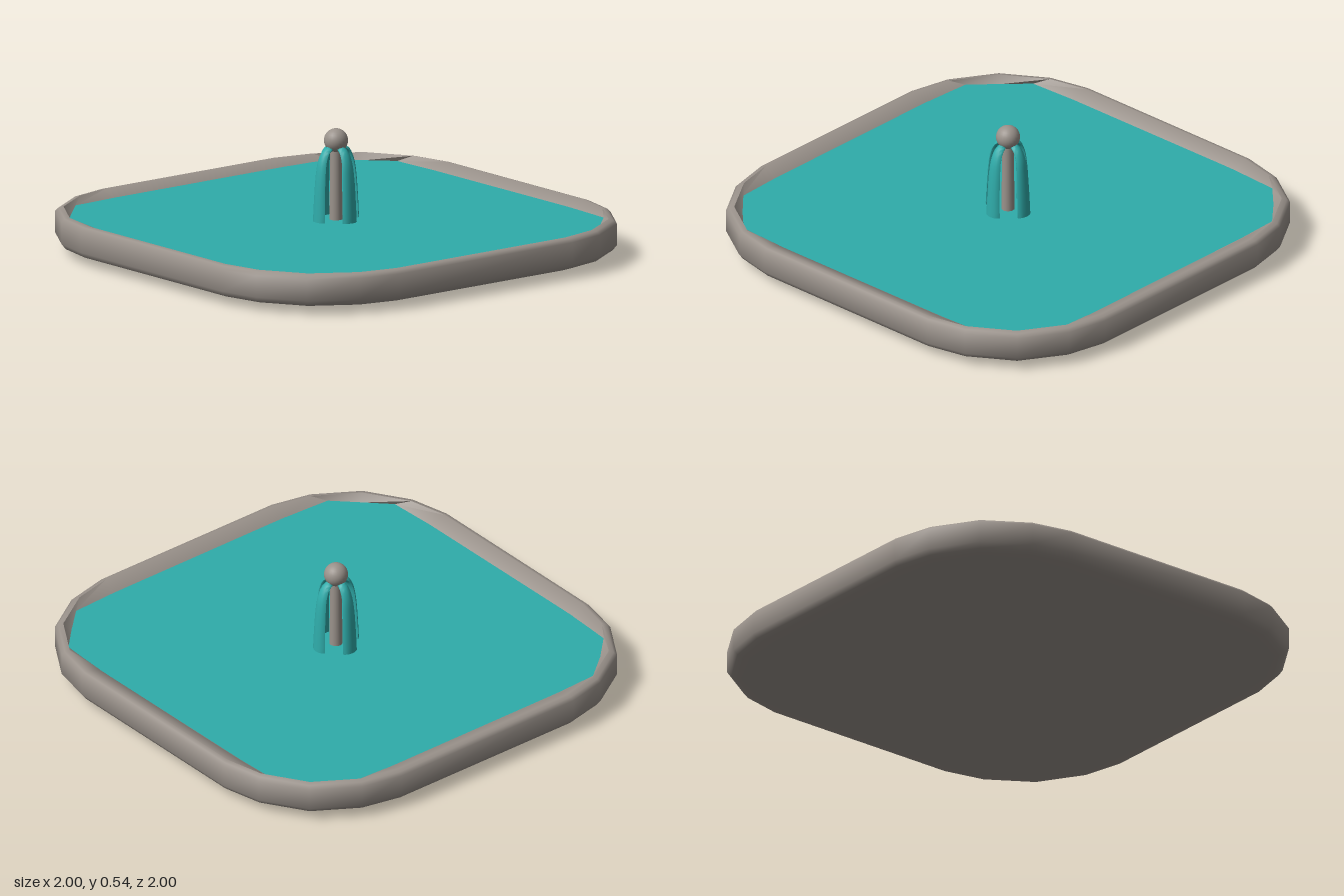
import * as THREE from 'three';
import { toCreasedNormals } from 'three/addons/utils/BufferGeometryUtils.js';

// Repeats one corner's points (x, z) around the four corners
function fourCorners(corner) {
  const pts = [];
  for (let k = 0; k < 4; k++) {
    const c = Math.round(Math.cos(k * Math.PI / 2)), s = Math.round(Math.sin(k * Math.PI / 2));
    for (const [x, z] of corner) pts.push([x * c - z * s, x * s + z * c]);
  }
  return pts;
}

// Skins closed rings of [x, y, z] points, listed bottom to top, and closes both ends
function skin(rings) {
  const idx = [], n = rings[0].length, top = (rings.length - 1) * n;
  for (let j = 0; j < rings.length - 1; j++) {
    for (let i = 0; i < n; i++) {
      const a = j * n + i, b = j * n + (i + 1) % n;
      idx.push(a, a + n, b, b, a + n, b + n);
    }
  }
  for (let i = 1; i < n - 1; i++) {
    idx.push(0, i, i + 1);
    idx.push(top, top + i + 1, top + i);
  }
  const g = new THREE.BufferGeometry();
  g.setAttribute('position', new THREE.Float32BufferAttribute(rings.flat(2), 3));
  g.setIndex(idx);
  return toCreasedNormals(g, 0.9);
}

// One falling jet: a curved lens section, widening from the finial down to the pool
function jetGeometry() {
  const path = new THREE.CatmullRomCurve3([ // radius, height, half width
    [0.099, 0.14, 0.038], [0.094, 0.25, 0.034], [0.087, 0.34, 0.031], [0.077, 0.4, 0.027],
    [0.058, 0.44, 0.023], [0.036, 0.455, 0.019], [0.012, 0.458, 0.012],
  ].map(p => new THREE.Vector3(...p)));
  const rings = [], steps = 18, sides = 12, thick = 0.011;
  for (let j = 0; j <= steps; j++) {
    const p = path.getPoint(j / steps), t = path.getTangent(j / steps);
    const len = Math.hypot(t.x, t.y), nr = t.y / len, ny = -t.x / len;
    const ring = [];
    for (let i = 0; i < sides; i++) {
      const a = i / sides * Math.PI * 2, side = p.z * Math.cos(a);
      const out = thick * Math.sin(a) - side * side / 0.18;
      ring.push([side, p.y + ny * out, p.x + nr * out]);
    }
    rings.push(ring);
  }
  return skin(rings);
}

export function createModel() {
  const stone = new THREE.MeshStandardMaterial({ color: 0x9a928b });
  stone.name = 'stone';
  const water = new THREE.MeshStandardMaterial({ color: 0x2facaa });
  water.name = 'water';

  const model = new THREE.Group();
  model.name = 'fountain';
  const add = (name, geometry, material) => {
    const mesh = new THREE.Mesh(geometry, material);
    mesh.name = name;
    model.add(mesh);
    return mesh;
  };

  // Basin: bowed underside, rounded rim, inner lip sloping down to the pool
  const rim = fourCorners([[1, 0.47], [0.96, 0.65], [0.84, 0.84], [0.65, 0.96], [0.47, 1]]);
  const pool = fourCorners([[0.9, 0.47], [0.89, 0.69], [0.79, 0.79], [0.69, 0.89], [0.47, 0.903]]);
  const ringAt = (outline, scale, y) => outline.map(([x, z]) => [x * scale, y, z * scale]);
  const outerRings = [
    [0.45, 0], [0.7, 0.008], [0.87, 0.018], [0.96, 0.031], [0.985, 0.04], [1, 0.062],
    [1, 0.155], [0.988, 0.169], [0.97, 0.174],
  ].map(([s, y]) => ringAt(rim, s, y));
  add('basin', skin([...outerRings, ringAt(pool, 1, 0.146), ringAt(pool, 0.99, 0.135)]), stone);

  // Water surface, a thin sheet just below the rim
  const sheet = new THREE.ShapeGeometry(new THREE.Shape(pool.map(([x, z]) => new THREE.Vector2(x, z))));
  add('waterSurface', sheet.rotateX(-Math.PI / 2), water).position.y = 0.147;

  // Column and ball finial
  add('column', new THREE.CylinderGeometry(0.024, 0.028, 0.32, 16), stone).position.y = 0.3;
  add('finial', new THREE.SphereGeometry(0.051, 24, 16), stone).position.y = 0.487;

  // Four jets around the column
  const jet = jetGeometry();
  for (let k = 0; k < 4; k++) add('waterJet' + (k + 1), jet, water).rotation.y = k * Math.PI / 2;

  return model;
}
